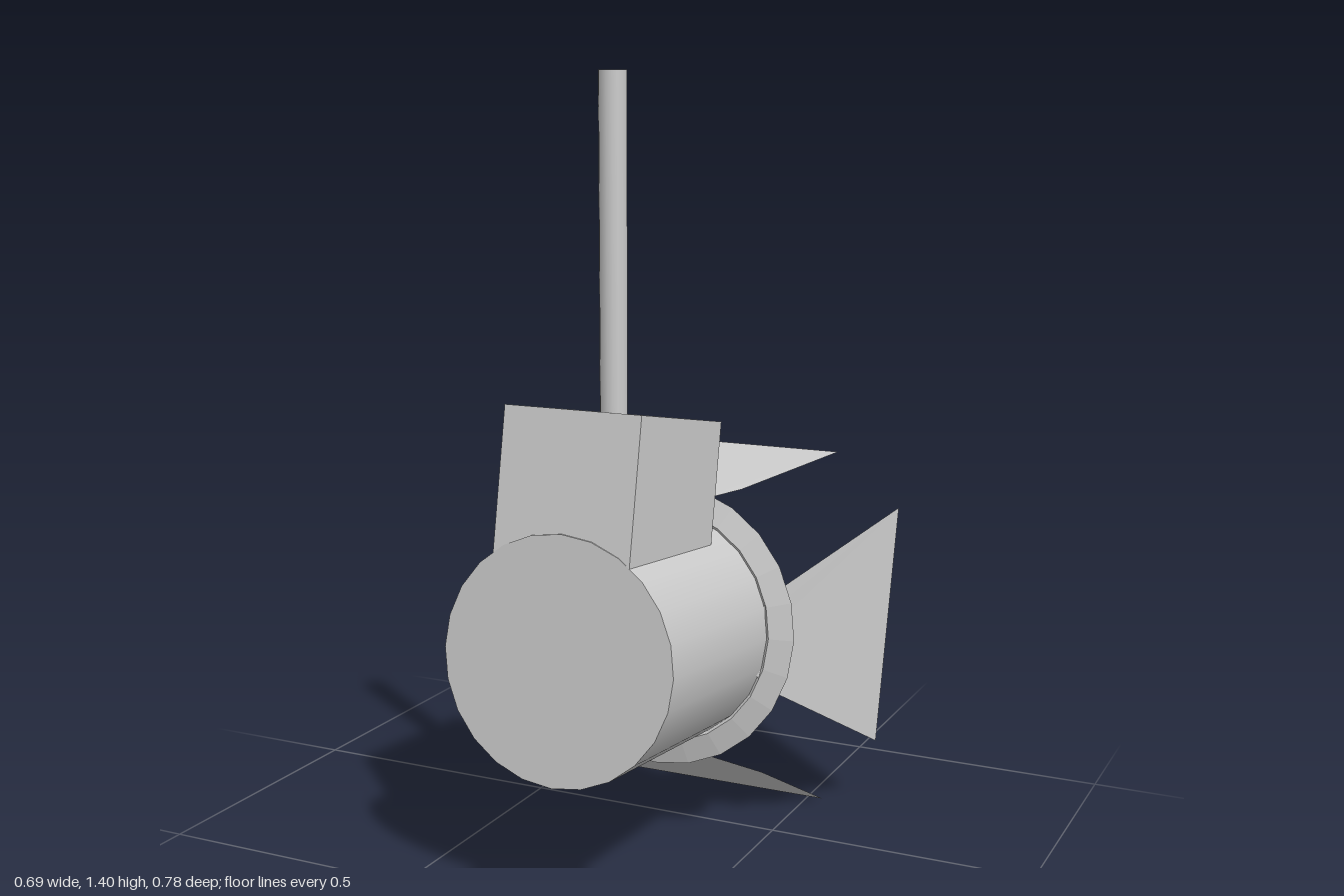
import * as THREE from 'three';

const CX = -0.2; // the lamp hangs off-centre

export function createModel() {
  const root = new THREE.Group();
  root.name = 'stageLamp';
  const solid = new THREE.MeshStandardMaterial({ color: 0xcccccc });
  const thin = new THREE.MeshStandardMaterial({ color: 0xcccccc, side: THREE.DoubleSide });
  const flat = new THREE.MeshStandardMaterial({ color: 0xcccccc, side: THREE.DoubleSide, flatShading: true });

  const add = (parent, name, geometry, material, x = 0, y = 0, z = 0) => {
    const mesh = new THREE.Mesh(geometry, material);
    mesh.name = name;
    mesh.position.set(x, y, z);
    parent.add(mesh);
    return mesh;
  };

  // Tilted head: barrel closed at +z, open at -z, with a thin-edged rim
  const head = new THREE.Group();
  head.name = 'lampHead';
  head.position.set(CX, 0.421, 0.776);
  head.rotation.x = -0.1;
  root.add(head);

  const R = 0.215, LENGTH = 0.41, SIDES = 24;
  add(head, 'barrel', new THREE.CylinderGeometry(R, R, LENGTH, SIDES, 1, true).rotateX(Math.PI / 2), thin);
  add(head, 'endCap', new THREE.CircleGeometry(R, SIDES), thin, 0, 0, LENGTH / 2);

  const rimProfile = [[0.205, 0], [0.22, -0.012], [0.265, 0], [0.22, 0.012], [0.205, 0]]
    .map(([r, h]) => new THREE.Vector2(r, h));
  add(head, 'rim', new THREE.LatheGeometry(rimProfile, SIDES).rotateX(Math.PI / 2), flat, 0, 0, -LENGTH / 2);

  // Mounting box and hanging rod
  const box = add(root, 'mountBox', new THREE.BoxGeometry(0.255, 0.25, 0.33), solid, CX, 0.703, 0.777);
  box.rotation.x = -0.19;
  add(root, 'hangingRod', new THREE.CylinderGeometry(0.024, 0.024, 0.605, 16), solid, CX, 1.1025, 0.763);

  // Flat shutter from an outline of corners, filled as a fan
  const shutter = (name, points) => {
    const geometry = new THREE.BufferGeometry();
    geometry.setAttribute('position', new THREE.Float32BufferAttribute(points.flat(), 3));
    const index = [];
    for (let i = 1; i < points.length - 1; i++) index.push(0, i, i + 1);
    geometry.setIndex(index);
    geometry.computeVertexNormals();
    add(root, name, geometry, flat, CX);
  };

  // Upper and lower shutters: rows of [half width, y, z], mirrored across x
  const mirrored = (rows) => [
    ...rows.map(([w, y, z]) => [w, y, z]),
    ...rows.slice().reverse().map(([w, y, z]) => [-w, y, z]),
  ];
  shutter('topShutter', mirrored([[0.217, 0.683, 0.225], [0.105, 0.64, 0.44], [0.025, 0.622, 0.535]]));
  shutter('bottomShutter', mirrored([[0.23, 0, 0.31], [0.155, 0.09, 0.446], [0.025, 0.152, 0.54]]));

  // Side shutters, reaching a little way into the barrel
  for (const s of [1, -1]) {
    shutter(s > 0 ? 'leftShutter' : 'rightShutter', [
      [s * 0.345, 0.585, 0.23], [s * 0.33, 0.13, 0.29], [s * 0.212, 0.305, 0.575],
      [s * 0.188, 0.38, 0.63], [s * 0.188, 0.42, 0.63], [s * 0.217, 0.48, 0.555],
    ]);
  }

  return root;
}
